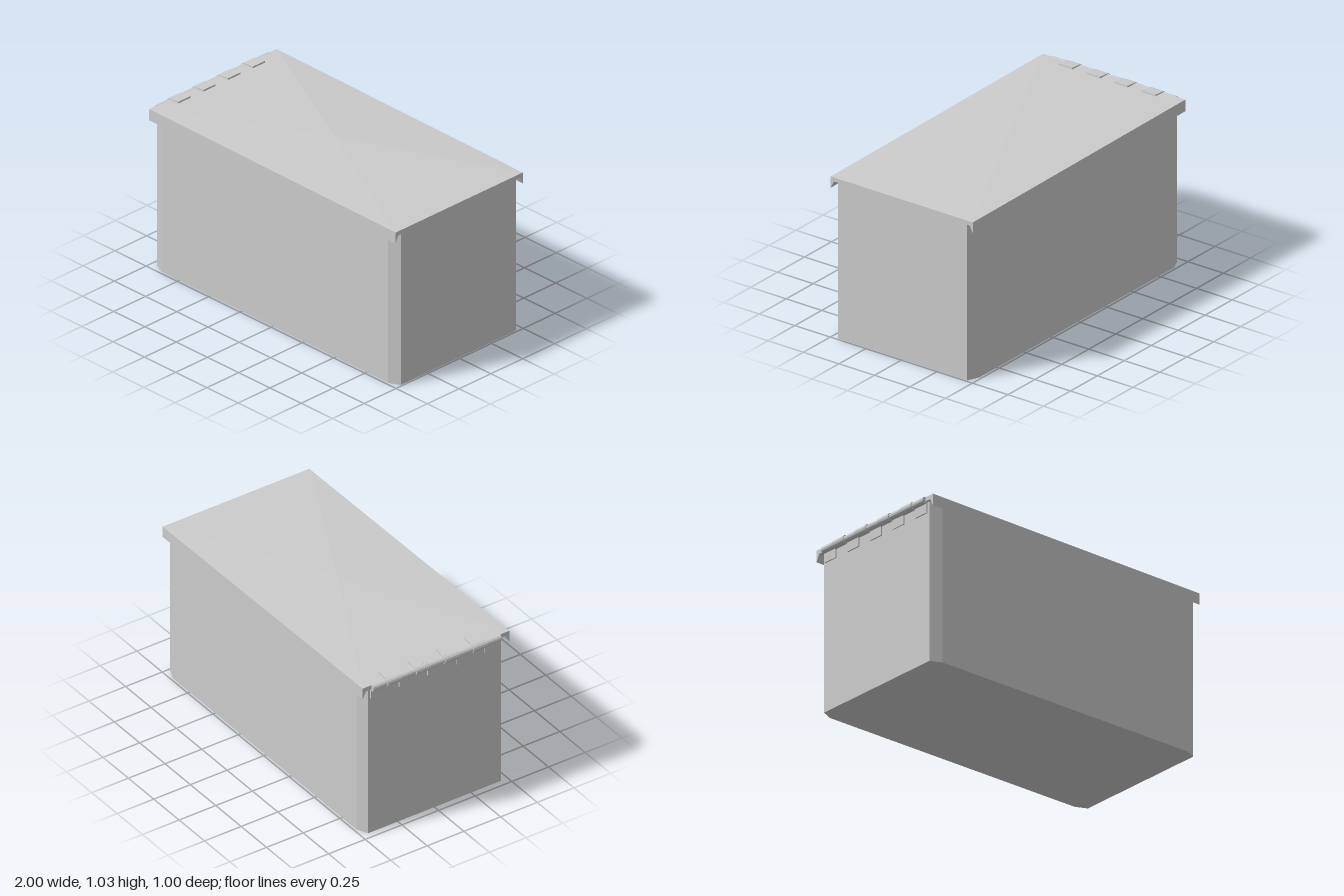
import * as THREE from 'three';

const material = new THREE.MeshStandardMaterial({ color: 0xcccccc, flatShading: true });

function part(name, geometry, parent) {
  const mesh = new THREE.Mesh(geometry, material);
  mesh.name = name;
  parent.add(mesh);
  return mesh;
}

// Rectangle with chamfered corners, drawn in x and z
function outline(x0, x1, z, cx, cz, Type) {
  const points = [
    [x0 + cx, -z], [x1 - cx, -z], [x1, -z + cz], [x1, z - cz],
    [x1 - cx, z], [x0 + cx, z], [x0, z - cz], [x0, -z + cz],
  ];
  return new Type(points.map(([x, y]) => new THREE.Vector2(x, y)));
}

function extrudeUp(shape, depth) {
  return new THREE.ExtrudeGeometry(shape, { depth, bevelEnabled: false }).rotateX(-Math.PI / 2);
}

// Lid: one cross-section at each end, plus a raised centre point on top
function lidGeometry() {
  const section = (x, top, mid, bottom) => [
    [x, top, 0.5], [x, bottom, 0.5], [x, mid, 0.477],
    [x, mid, -0.477], [x, bottom, -0.5], [x, top, -0.5],
  ];
  const points = [
    ...section(-0.975, 1.014, 0.987, 0.942),
    ...section(0.996, 0.995, 0.97, 0.925),
    [0, 1.029, 0],
  ];
  const index = [];
  for (let i = 0; i < 5; i++) index.push(i, i + 1, i + 7, i, i + 7, i + 6);
  for (const [a, b, c] of [[0, 1, 2], [0, 2, 3], [0, 3, 5], [3, 4, 5]]) {
    index.push(a + 6, b + 6, c + 6, c, b, a);
  }
  const rim = [0, 6, 11, 5];
  rim.forEach((a, i) => index.push(a, rim[(i + 1) % 4], 12));
  const geometry = new THREE.BufferGeometry();
  geometry.setAttribute('position', new THREE.Float32BufferAttribute(points.flat(), 3));
  geometry.setIndex(index);
  geometry.computeVertexNormals();
  return geometry;
}

export function createModel() {
  const model = new THREE.Group();
  model.name = 'hingedBox';

  // Hollow body, its upper rim sloping with the lid
  const wallShape = outline(-0.96, 0.99, 0.485, 0.07, 0.032, THREE.Shape);
  wallShape.holes.push(outline(-0.94, 0.97, 0.465, 0.07, 0.032, THREE.Path));
  const walls = extrudeUp(wallShape, 0.97);
  const position = walls.attributes.position;
  for (let i = 0; i < position.count; i++) {
    if (position.getY(i) > 0.5) position.setY(i, 0.97 + (0.99 - position.getX(i)) * 0.0085);
  }
  walls.computeVertexNormals();
  part('bodyWalls', walls, model);
  part('bodyFloor', extrudeUp(outline(-0.96, 0.99, 0.485, 0.07, 0.032, THREE.Shape), 0.02), model);

  part('lid', lidGeometry(), model);

  // Hinge: nine knuckles, alternately fixed to the body and to the lid
  const hinge = new THREE.Group();
  hinge.name = 'hinge';
  model.add(hinge);
  for (let i = 0; i < 9; i++) {
    const z = -0.392 + i * 0.0975;
    const onLid = i % 2 === 1;
    const radius = onLid ? 0.025 : 0.021;
    const knuckle = new THREE.CylinderGeometry(radius, radius, 0.096, 12).rotateX(Math.PI / 2);
    part(onLid ? 'lidKnuckle' : 'bodyKnuckle', knuckle, hinge).position.set(-0.975, 0.995, z);
    if (onLid) {
      const leaf = part('lidLeaf', new THREE.BoxGeometry(0.07, 0.01, 0.096), hinge);
      leaf.position.set(-0.94, 1.018, z);
      leaf.rotation.z = 0.08;
    } else {
      part('bodyLeaf', new THREE.BoxGeometry(0.01, 0.07, 0.096), hinge).position.set(-0.963, 0.955, z);
    }
  }
  return model;
}
